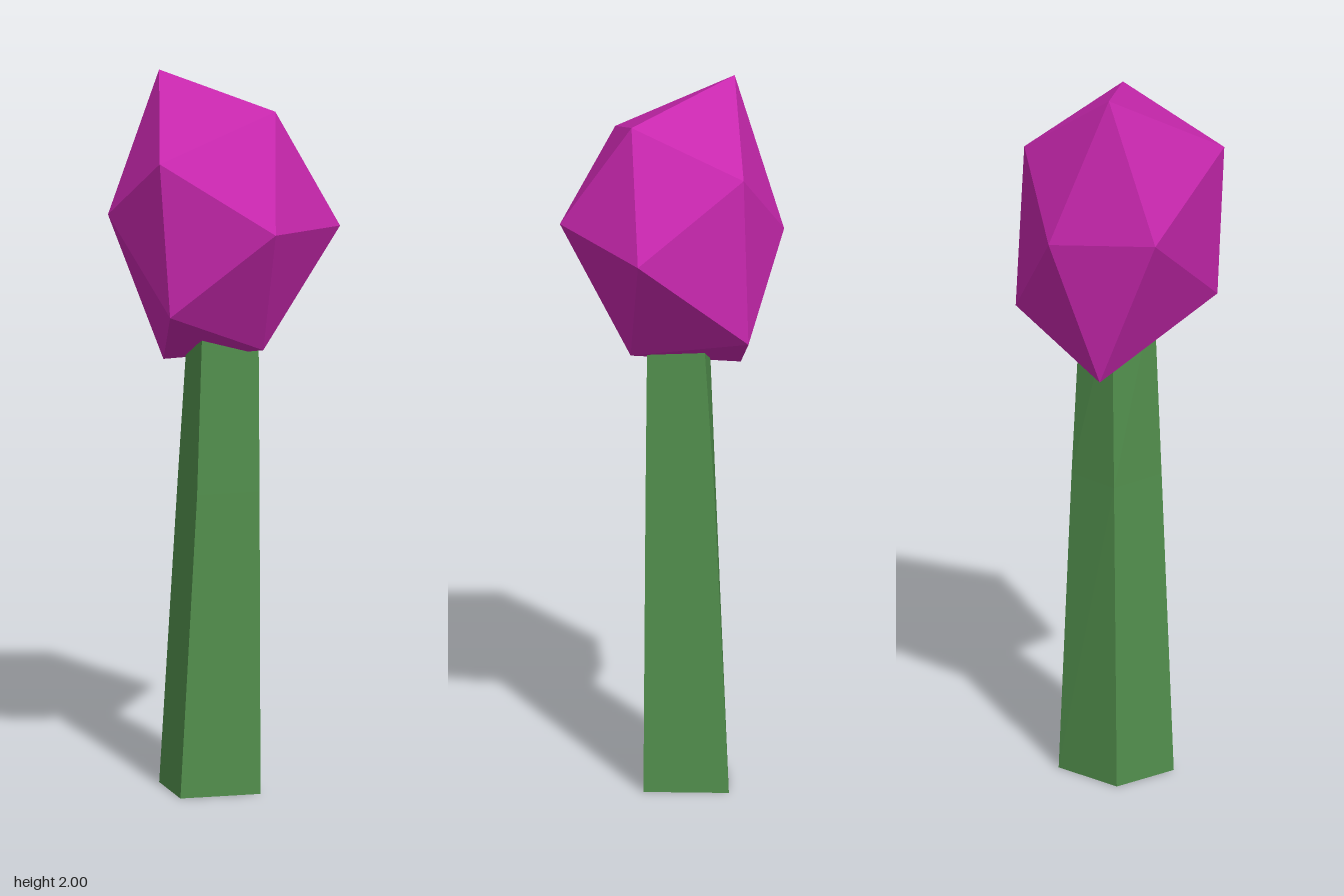
import * as THREE from 'three';

// Faceted mesh from corner points and triangle indices
function facetedMesh(name, points, faces, color) {
  const indexed = new THREE.BufferGeometry();
  indexed.setAttribute('position', new THREE.Float32BufferAttribute(points.flat(), 3));
  indexed.setIndex(faces.flat());
  const geometry = indexed.toNonIndexed();
  geometry.computeVertexNormals();
  const mesh = new THREE.Mesh(geometry, new THREE.MeshStandardMaterial({ color, flatShading: true }));
  mesh.name = name;
  return mesh;
}

// Four-sided tapering trunk, each ring ordered front, +x, back, -x
function createTrunk() {
  const rings = [
    { y: 0, corners: [[-0.035, 0.15], [0.12, -0.015], [-0.06, -0.165], [-0.19, 0.015]] },
    { y: 0.85, corners: [[-0.005, 0.112], [0.115, -0.018], [-0.035, -0.133], [-0.14, 0]] },
    { y: 1.38, corners: [[0, 0.09], [0.11, -0.02], [-0.01, -0.11], [-0.107, -0.01]] },
  ];
  const points = rings.flatMap(({ y, corners }) => corners.map(([x, z]) => [x, y, z]));
  const faces = [[0, 2, 1], [0, 3, 2], [8, 9, 10], [8, 10, 11]];
  for (let r = 0; r < rings.length - 1; r++) {
    for (let i = 0; i < 4; i++) {
      const a = r * 4 + i, b = r * 4 + (i + 1) % 4;
      faces.push([a, b, b + 4], [a, b + 4, a + 4]);
    }
  }
  return facetedMesh('trunk', points, faces, 0x528f4d);
}

// Irregular icosahedron: top trio, six around the middle, bottom trio
function createFoliage() {
  const corners = {
    A: [-0.203, 2, -0.005], B: [0.165, 1.925, -0.02], C: [-0.035, 1.795, -0.264],
    D: [-0.033, 1.33, -0.288], E: [0.27, 1.585, -0.185], F: [0.278, 1.625, 0.155],
    G: [-0.015, 1.815, 0.287], H: [-0.28, 1.61, 0.135], I: [-0.251, 1.59, -0.165],
    J: [0.005, 1.38, 0.265], K: [-0.205, 1.18, -0.03], L: [0.145, 1.257, 0.01],
  };
  const names = Object.keys(corners);
  const faces = 'ABC BAG GAH HAI IAC CBE EBF FBG CED CDI FGJ GHJ HIK IDK DEL EFL FJL JHK KDL LJK'
    .split(' ')
    .map((face) => [...face].map((corner) => names.indexOf(corner)));
  return facetedMesh('foliage', Object.values(corners), faces, 0xc727ad);
}

export function createModel() {
  const tree = new THREE.Group();
  tree.name = 'tree';
  tree.add(createTrunk(), createFoliage());
  return tree;
}
